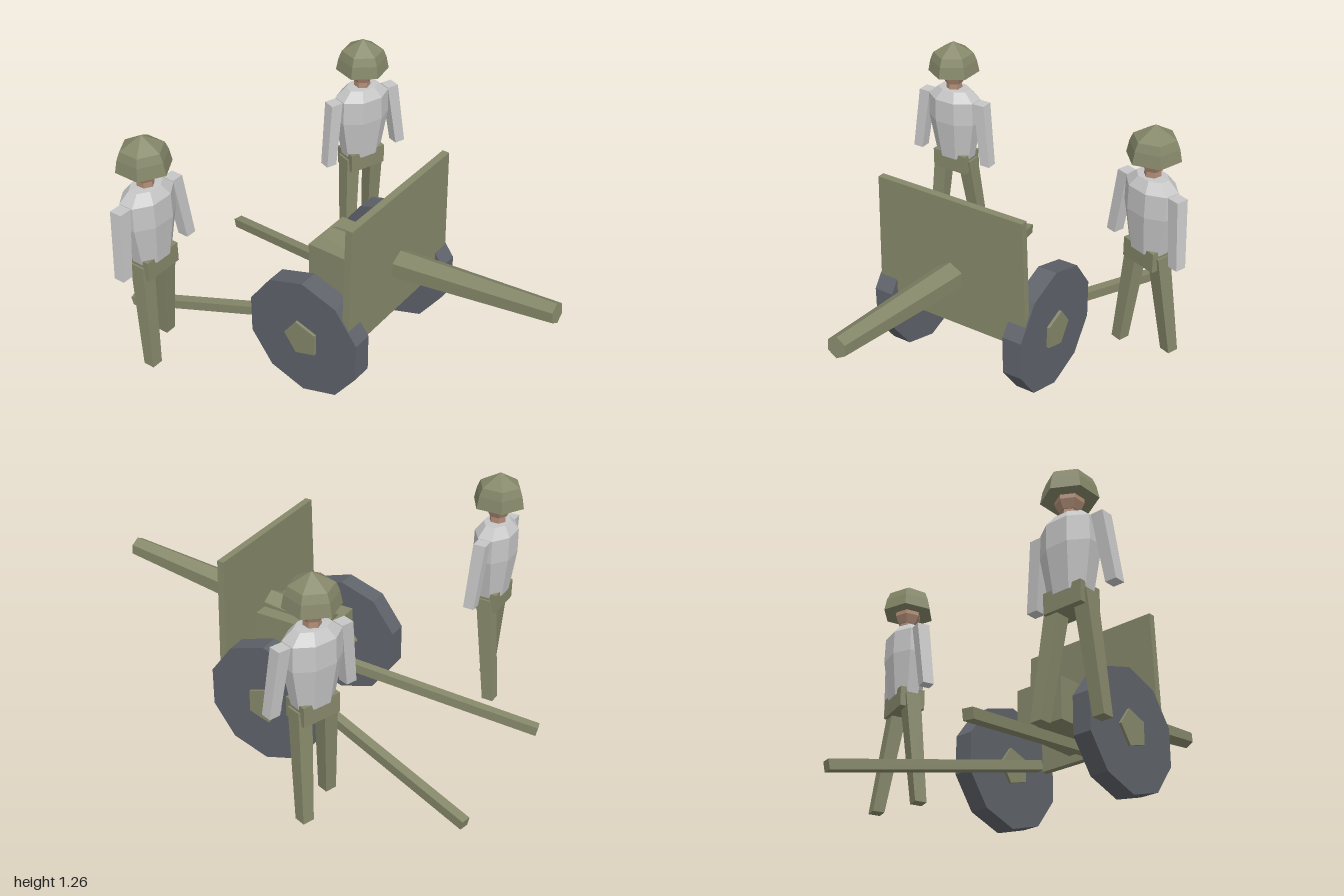
import * as THREE from 'three';

const flat = (color, name) => {
  const m = new THREE.MeshStandardMaterial({ color, flatShading: true });
  m.name = name;
  return m;
};
const V = (x, y, z) => new THREE.Vector3(x, y, z);

export function createModel() {
  const olive = flat(0x86886a, 'olive');
  const steel = flat(0x5f636a, 'wheel grey');
  const cloth = flat(0xc6c6c6, 'pale cloth');
  const skin = flat(0xb08d76, 'skin');

  const add = (parent, name, geo, mat, x = 0, y = 0, z = 0) => {
    const m = new THREE.Mesh(geo, mat);
    m.name = name;
    m.position.set(x, y, z);
    parent.add(m);
    return m;
  };

  // Upright tapered box whose ends stay level, from the top point to the bottom point
  const limb = (top, bottom, wTop, wBottom) => {
    const g = new THREE.BoxGeometry(1, 1, 1);
    const p = g.attributes.position;
    for (let i = 0; i < p.count; i++) {
      const [c, w] = p.getY(i) > 0 ? [top, wTop] : [bottom, wBottom];
      p.setXYZ(i, c.x + p.getX(i) * w, c.y, c.z + p.getZ(i) * w);
    }
    g.computeVertexNormals();
    return g;
  };

  // Mesh lying along its own z axis, placed between two points
  const span = (parent, name, from, to, makeGeo, mat) => {
    const m = new THREE.Mesh(makeGeo(from.distanceTo(to)), mat);
    m.name = name;
    m.position.copy(from).add(to).multiplyScalar(0.5);
    m.lookAt(to);
    parent.add(m);
  };

  const model = new THREE.Group();
  model.name = 'fieldGunAndCrew';

  // ---- Field gun, pointing along its own +z ----
  const gun = new THREE.Group();
  gun.name = 'fieldGun';
  gun.position.set(0.12, 0, 0.163);
  gun.rotation.y = THREE.MathUtils.degToRad(55);
  model.add(gun);

  // Shield, slightly wider at the foot
  const plate = new THREE.Shape([
    new THREE.Vector2(-0.405, 0.35), new THREE.Vector2(0.405, 0.35),
    new THREE.Vector2(0.383, 1.0), new THREE.Vector2(-0.383, 1.0),
  ]);
  add(gun, 'shield', new THREE.ExtrudeGeometry(plate, { depth: 0.035, bevelEnabled: false }), olive, 0, 0, 0.217);

  add(gun, 'breechBox', new THREE.BoxGeometry(0.27, 0.22, 0.39), olive, 0, 0.5, 0.03);
  span(gun, 'barrel', V(0, 0.555, -0.13), V(0, 0.695, 1.04),
    (l) => new THREE.CylinderGeometry(0.05, 0.085, l, 6).rotateX(Math.PI / 2), olive);

  for (const s of [-1, 1]) {
    // Ten-sided wheels with a corner at the top, five-sided hubs
    add(gun, 'wheel', new THREE.CylinderGeometry(0.312, 0.312, 0.097, 10)
      .rotateZ(Math.PI / 2).rotateX(Math.PI / 2), steel, s * 0.359, 0.312, 0);
    add(gun, 'hub', new THREE.CylinderGeometry(0.095, 0.095, 0.125, 5, 1, false, Math.PI)
      .rotateZ(Math.PI / 2), olive, s * 0.359, 0.312, 0);
    span(gun, 'trail', V(s * 0.15, 0.28, 0.01), V(s * 0.415, 0.04, -1.065),
      (l) => new THREE.BoxGeometry(0.048, 0.048, l), olive);
  }

  // ---- Crew ----
  const lathe = (pts, sides) => new THREE.LatheGeometry(pts.map(([r, y]) => new THREE.Vector2(r, y)), sides);

  const soldier = (x, z, degrees) => {
    const g = new THREE.Group();
    g.name = 'crewMember';
    g.position.set(x, 0, z);
    g.rotation.y = THREE.MathUtils.degToRad(degrees);
    model.add(g);

    add(g, 'helmet', lathe([[0, 1.1], [0.13, 1.1], [0.118, 1.16], [0.102, 1.2], [0, 1.26]], 6), olive);
    add(g, 'head', lathe([[0, 1.04], [0.045, 1.04], [0.065, 1.08], [0.065, 1.13], [0, 1.13]], 6), skin);
    add(g, 'neck', new THREE.CylinderGeometry(0.038, 0.042, 0.08, 6), skin, 0, 1.03, 0);

    const torso = lathe([[0, 0.63], [0.108, 0.63], [0.148, 0.84], [0.145, 0.96], [0.09, 1.008], [0, 1.012]], 8);
    torso.rotateY(Math.PI / 8).scale(1, 1, 0.68);
    add(g, 'torso', torso, cloth);
    add(g, 'pelvis', new THREE.BoxGeometry(0.2, 0.1, 0.125), olive, 0, 0.605, 0);

    for (const s of [-1, 1]) {
      add(g, 'arm', limb(V(s * 0.168, 0.96, 0), V(s * 0.212, 0.63, 0.02), 0.062, 0.055), cloth);
      // The left leg steps back, the right leg forward
      add(g, 'leg', limb(V(s * 0.072, 0.62, 0), V(s * 0.112, 0.07, s > 0 ? -0.072 : 0.045), 0.076, 0.058), olive);
    }
  };
  soldier(-0.8, 0.285, 55);
  soldier(0.15, -0.61, 35);

  return model;
}
